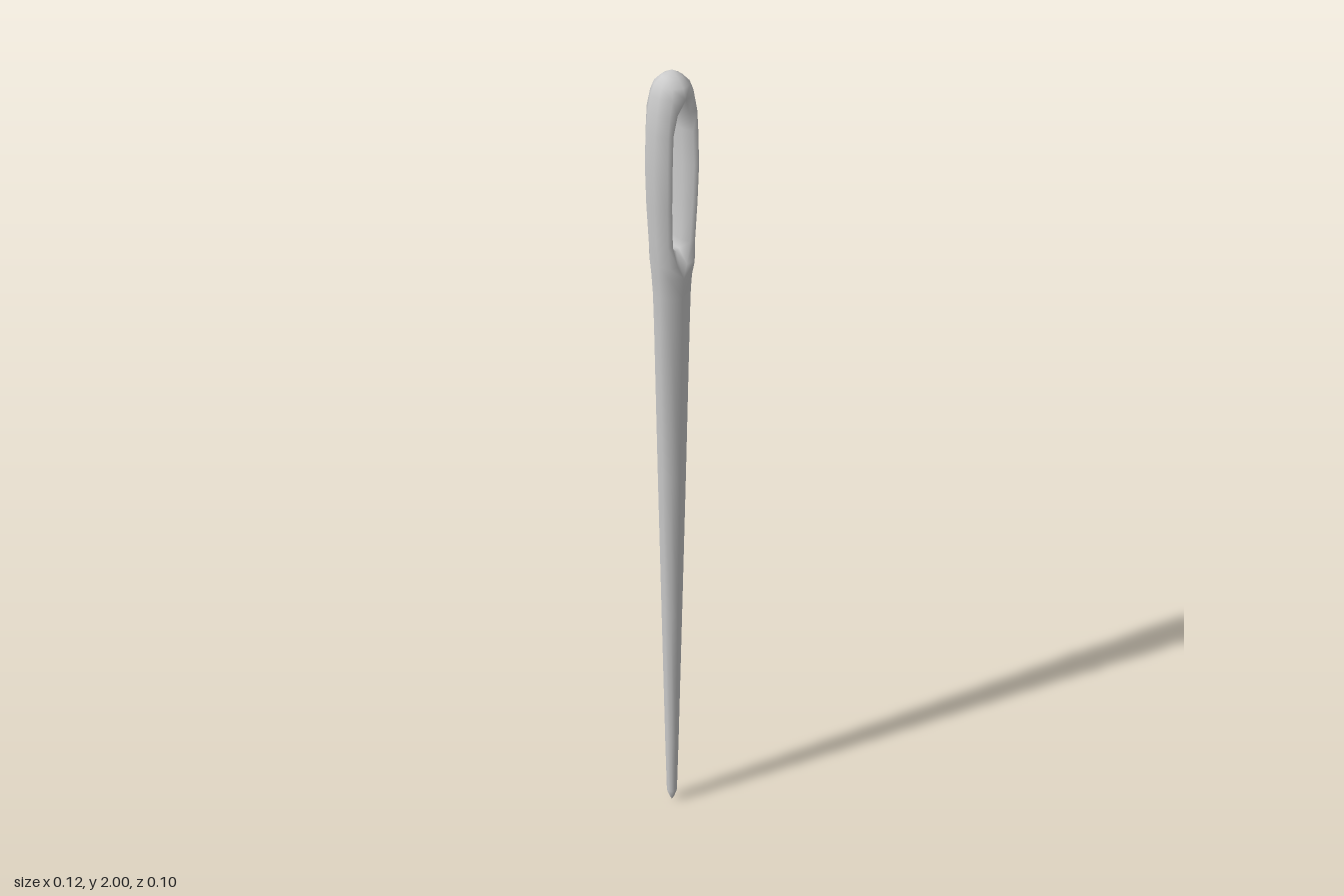
import * as THREE from 'three';
import { mergeVertices } from 'three/addons/utils/BufferGeometryUtils.js';

// Half of a ten-sided cross-section (x >= 0), running from front to back.
function halfRing(y, w, d) {
  const front = [[0, d], [0.62 * w, 0.81 * d], [w, 0.31 * d]];
  const back = front.map(([x, z]) => [x, -z]).reverse();
  return [...front, ...back].map(([x, z]) => [x, y, z]);
}

// Closed cross-section of one strand beside the eye: outside, then the inner wall.
function strandRing(y, w, d, rim, inner) {
  const front = [[rim, d], [0.7 * w, d], [w, 0.4 * d]];
  const back = front.map(([x, z]) => [x, -z]).reverse();
  return [...front, ...back, [inner, -0.4 * d], [inner, 0.4 * d]].map(([x, z]) => [x, y, z]);
}

// Where the strands join, the inner wall narrows to the centre line at its own height.
function joinRing(y, w, d, innerY) {
  return [...halfRing(y, w, d), [0, innerY, -0.016], [0, innerY, 0.016]];
}

// Skins successive rings on one side of the needle; side -1 gives the mirror image.
function skin(out, rings, closed, side) {
  const put = (...pts) => {
    if (side < 0) pts.reverse();
    for (const [x, y, z] of pts) out.push(x * side, y, z);
  };
  for (let i = 0; i < rings.length - 1; i++) {
    const lower = rings[i], upper = rings[i + 1], n = lower.length;
    for (let j = 0; j < (closed ? n : n - 1); j++) {
      const k = (j + 1) % n;
      put(lower[j], lower[k], upper[k]);
      put(lower[j], upper[k], upper[j]);
    }
  }
}

export function createModel() {
  // Tapered shaft: height, half width, half depth
  const shaft = [
    [0, 0, 0], [0.012, 0.006, 0.006], [0.035, 0.013, 0.013], [0.2, 0.017, 0.017],
    [0.6, 0.025, 0.025], [1, 0.033, 0.032], [1.4, 0.04, 0.039],
    [1.48, 0.042, 0.041], [1.53, 0.045, 0.045],
  ].map((r) => halfRing(...r));

  // Strands around the eye: height, half width, half depth, rim x, inner wall x
  const eye = [
    joinRing(1.53, 0.045, 0.045, 1.585),
    ...[
      [1.56, 0.047, 0.039, 0.012, 0.008], [1.61, 0.051, 0.036, 0.023, 0.013],
      [1.7, 0.056, 0.039, 0.027, 0.015], [1.79, 0.058, 0.042, 0.028, 0.015],
      [1.87, 0.055, 0.041, 0.025, 0.013], [1.915, 0.05, 0.042, 0.015, 0.008],
    ].map((r) => strandRing(...r)),
    joinRing(1.95, 0.044, 0.05, 1.91),
  ];
  // Keep the inner wall between the floor and roof of the eye
  for (const ring of eye) {
    for (const p of ring.slice(6)) p[1] = THREE.MathUtils.clamp(p[1], 1.585, 1.91);
  }
  for (const p of eye[1].slice(6)) p[1] = 1.59;
  for (const p of eye[6].slice(6)) p[1] = 1.905;

  // Rounded head above the eye
  const head = [
    [1.95, 0.044, 0.05], [1.972, 0.036, 0.041], [1.988, 0.021, 0.024], [2, 0, 0],
  ].map((r) => halfRing(...r));

  const positions = [];
  for (const side of [1, -1]) {
    skin(positions, shaft, false, side);
    skin(positions, eye, true, side);
    skin(positions, head, false, side);
  }

  // Weld the parts into one smooth surface
  let geometry = new THREE.BufferGeometry();
  geometry.setAttribute('position', new THREE.Float32BufferAttribute(positions, 3));
  geometry = mergeVertices(geometry, 1e-5);
  geometry.computeVertexNormals();

  const needle = new THREE.Mesh(geometry, new THREE.MeshStandardMaterial({ color: 0xcccccc }));
  needle.name = 'needle';
  const group = new THREE.Group();
  group.name = 'sewingNeedle';
  group.add(needle);
  return group;
}
